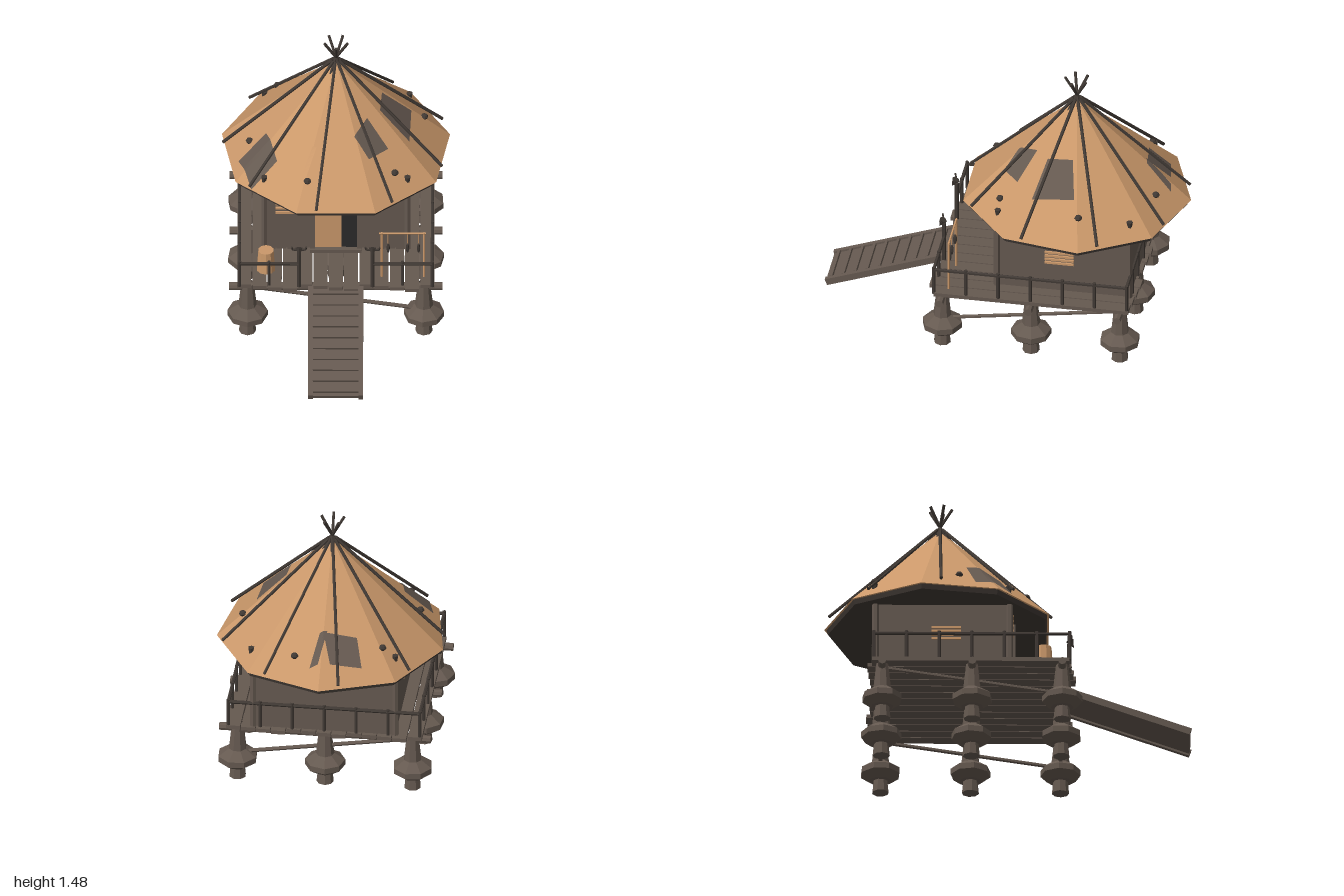
import * as THREE from 'three';

const mat = (name, hex) => {
  const m = new THREE.MeshStandardMaterial({ color: hex, flatShading: true, side: THREE.DoubleSide });
  m.name = name;
  return m;
};

export function createModel() {
  const wood = mat('wood', 0x655950);
  const dark = mat('dark wood', 0x403934);
  const tan = mat('hide', 0xca986a);
  const black = mat('shadowed doorway', 0x2c2b2b);
  const root = new THREE.Group();
  const CZ = -0.37, SIDES = 9, ROOF_R = 0.63, ROOF_Y = 0.752, APEX = 1.345;

  const add = (name, geo, m, x = 0, y = 0, z = 0, parent = root) => {
    const mesh = new THREE.Mesh(geo, m);
    mesh.name = name;
    mesh.position.set(x, y, z);
    parent.add(mesh);
    return mesh;
  };
  const box = (name, m, w, h, d, x, y, z, parent) => add(name, new THREE.BoxGeometry(w, h, d), m, x, y, z, parent);
  // round pole between two points
  const pole = (name, m, a, b, r, sides = 6) => {
    const p = new THREE.Vector3(...a), q = new THREE.Vector3(...b);
    const dir = q.clone().sub(p);
    const mesh = add(name, new THREE.CylinderGeometry(r, r, dir.length(), sides), m);
    mesh.position.copy(p).add(q).multiplyScalar(0.5);
    mesh.quaternion.setFromUnitVectors(new THREE.Vector3(0, 1, 0), dir.normalize());
    return mesh;
  };

  // Stilts with bulbous stone collars
  const stilt = new THREE.LatheGeometry([[0, 0], [0.047, 0], [0.04, 0.068], [0.062, 0.07], [0.11, 0.105], [0.11, 0.138],
    [0.062, 0.17], [0.05, 0.178], [0.034, 0.325]].map(p => new THREE.Vector2(...p)), 8);
  const rows = [0.29, -0.2, -0.69];
  rows.forEach((z, i) => {
    [-0.48, 0, 0.48].forEach((x, j) => { add('stilt', stilt, wood, x, 0, z).rotation.y = (i * 3 + j) * 0.35; });
    pole('floorBeam', wood, [-0.58, 0.305, z], [0.58, 0.305, z], 0.022, 8);
  });
  for (const x of [-0.48, 0.48]) pole('sideBrace', wood, [x, 0.155, 0.28], [x, 0.305, -0.69], 0.011);
  for (const z of [0.29, -0.69]) pole('crossBrace', wood, [-0.46, 0.3, z], [0.48, 0.15, z], 0.011);

  // Deck planks of uneven length
  for (let i = 0; i < 13; i++) {
    const front = 0.33 + ((i * 5) % 4) * 0.012, back = -0.745 - ((i * 3) % 4) * 0.008;
    box('deckPlank', wood, 0.076, 0.022, front - back, -0.498 + i * 0.083, 0.334, (front + back) / 2);
  }

  // Ramp
  const ramp = new THREE.Group();
  ramp.name = 'ramp';
  ramp.position.set(0, 0.203, 0.66);
  ramp.rotation.x = 0.345;
  root.add(ramp);
  box('rampBoard', wood, 0.27, 0.016, 0.7, 0, 0, 0, ramp);
  for (const s of [-1, 1]) box('rampRail', wood, 0.026, 0.038, 0.705, s * 0.137, 0, 0, ramp);
  for (let i = 0; i < 10; i++) box('rampCleat', wood, 0.25, 0.014, 0.016, 0, 0.014, -0.31 + i * 0.07, ramp);

  // House body, corner posts and front boards
  box('walls', wood, 0.78, 0.41, 0.73, 0, 0.545, -0.365);
  for (const x of [-0.39, 0.39]) for (const z of [0.005, -0.725])
    pole('cornerPost', wood, [x, 0.34, z], [x, 0.745, z], 0.018);
  for (const s of [-1, 1]) for (let i = 0; i < 4; i++)
    box('frontBoard', wood, 0.052, 0.39, 0.012 + (i % 2) * 0.01, s * (0.18 + i * 0.058), 0.54, 0.003);

  // Doorway with a half-drawn hide
  box('doorVoid', black, 0.25, 0.36, 0.006, 0, 0.54, 0.02);
  box('doorHide', tan, 0.145, 0.335, 0.008, -0.043, 0.54, 0.03);
  for (const s of [-1, 1]) box('doorJamb', wood, 0.028, 0.37, 0.04, s * 0.128, 0.535, 0.018);
  box('doorLintel', wood, 0.28, 0.022, 0.04, 0, 0.718, 0.018);
  box('doorStep', wood, 0.28, 0.022, 0.05, 0, 0.356, 0.025);

  // Slatted vents on the front and sides
  for (let i = 0; i < 4; i++) {
    box('frontVentSlat', tan, 0.155, 0.012, 0.012, -0.25, 0.602 + i * 0.029, 0.02);
    for (const s of [-1, 1]) box('sideVentSlat', tan, 0.012, 0.012, 0.16, s * 0.394, 0.522 + i * 0.022, -0.34);
  }

  // Roof: pyramid, underside and rim
  add('roof', new THREE.ConeGeometry(ROOF_R, APEX - ROOF_Y, SIDES, 1, true, Math.PI), tan, 0, (APEX + ROOF_Y) / 2, CZ);
  add('roofRim', new THREE.CylinderGeometry(ROOF_R - 0.012, ROOF_R - 0.02, 0.027, SIDES, 1, false, Math.PI), dark, 0, 0.738, CZ);

  // Height of the roof above a ground point
  const roofY = (x, z) => {
    let d = 0;
    for (let k = 0; k < SIDES; k++) {
      const a = Math.PI + (k + 0.5) * 2 * Math.PI / SIDES;
      d = Math.max(d, x * Math.sin(a) + (z - CZ) * Math.cos(a));
    }
    return APEX - (APEX - ROOF_Y) * d / (ROOF_R * Math.cos(Math.PI / SIDES));
  };
  // Patch draped over the roof, corners as [x, z]
  const patch = (name, m, c, lift) => {
    const g = new THREE.PlaneGeometry(1, 1, 8, 8), p = g.attributes.position;
    for (let i = 0; i < p.count; i++) {
      const u = p.getX(i) + 0.5, v = 0.5 - p.getY(i);
      const at = k => (c[0][k] * (1 - u) + c[1][k] * u) * (1 - v) + (c[3][k] * (1 - u) + c[2][k] * u) * v;
      p.setXYZ(i, at(0), roofY(at(0), at(1)) + lift, at(1));
    }
    g.computeVertexNormals();
    add(name, g, m);
  };
  [[[-0.53, -0.18], [-0.38, -0.23], [-0.32, -0.05], [-0.46, 0.02]],
    [[0.17, -0.18], [0.285, -0.09], [0.18, 0.0], [0.1, -0.07]],
    [[0.25, -0.39], [0.41, -0.425], [0.4, -0.19], [0.24, -0.25]],
    [[-0.22, -0.85], [-0.05, -0.88], [0.0, -0.76], [-0.18, -0.735]],
    [[0.015, -0.89], [0.06, -0.9], [0.02, -0.76], [-0.02, -0.75]]].forEach(c => patch('darkPatch', wood, c, 0.008));
  [[[-0.15, -0.04], [0.03, -0.01], [0.02, 0.12], [-0.23, 0.09]],
    [[-0.33, -0.69], [-0.23, -0.6], [-0.31, -0.51], [-0.42, -0.56]],
    [[0.15, -0.8], [0.29, -0.72], [0.2, -0.65], [0.13, -0.69]]].forEach(c => patch('hidePatch', tan, c, 0.005));

  // Studs and small pegs on the roof
  [[-0.47, -0.27], [0.32, 0], [0.48, -0.46], [0.15, -0.83], [-0.32, -0.73], [-0.155, 0.1]].forEach(([x, z]) =>
    add('roofStud', new THREE.SphereGeometry(0.022, 7, 4), dark, x, roofY(x, z) + 0.006, z).scale.y = 0.75);
  [[0.39, 0], [0.4, -0.73], [-0.39, -0.73], [-0.39, 0]].forEach(([x, z]) =>
    add('roofPeg', new THREE.CylinderGeometry(0.018, 0.012, 0.035, 6), dark, x, roofY(x, z) + 0.006, z));

  // Poles lying on the roof and crossing above it
  for (let k = 0; k < SIDES; k++) {
    const a = Math.PI + k * 2 * Math.PI / SIDES, c = Math.cos(a), s = Math.sin(a);
    pole('roofPole', dark, [0.615 * c, 0.782, CZ + 0.615 * s], [0.02 * c, 1.35, CZ + 0.02 * s], 0.009);
  }
  for (let k = 0; k < 5; k++) {
    const a = 0.3 + k * 2 * Math.PI / 5, c = Math.cos(a), s = Math.sin(a);
    pole('crownPole', dark, [-0.06 * c, 1.27, CZ - 0.06 * s], [0.066 * c, 1.478, CZ + 0.066 * s], 0.008);
  }

  // Railing around the deck, open at the ramp
  const railing = (a, b, n) => {
    pole('handrail', dark, [a[0], 0.49, a[1]], [b[0], 0.49, b[1]], 0.01);
    for (let i = 0; i <= n; i++) {
      const t = i / n, x = a[0] + (b[0] - a[0]) * t, z = a[1] + (b[1] - a[1]) * t;
      pole('railPost', dark, [x, 0.335, z], [x, 0.505, z], 0.01);
    }
  };
  for (const s of [-1, 1]) {
    railing([s * 0.525, 0.33], [s * 0.525, -0.735], 6);
    railing([s * 0.2, 0.33], [s * 0.525, 0.33], 2);
    // Entrance post with a horned skull
    pole('entrancePost', dark, [s * 0.2, 0.335, 0.33], [s * 0.2, 0.58, 0.33], 0.012);
    add('skull', new THREE.ConeGeometry(0.022, 0.05, 6), dark, s * 0.2, 0.58, 0.345).rotation.x = Math.PI * 0.85;
    for (const h of [-1, 1]) {
      pole('horn', dark, [s * 0.2, 0.59, 0.34], [s * 0.2 + h * 0.035, 0.595, 0.34], 0.006);
      pole('hornTip', dark, [s * 0.2 + h * 0.035, 0.593, 0.34], [s * 0.2 + h * 0.04, 0.615, 0.345], 0.005);
    }
  }
  railing([-0.525, -0.735], [0.525, -0.735], 6);

  // Barrel
  add('barrel', new THREE.CylinderGeometry(0.043, 0.052, 0.13, 10), tan, -0.38, 0.41, 0.19);

  // Drying rack with hanging fish
  for (const x of [0.25, 0.48]) pole('rackPost', tan, [x, 0.345, 0.255], [x, 0.645, 0.255], 0.007);
  pole('rackBar', tan, [0.235, 0.64, 0.255], [0.49, 0.64, 0.255], 0.006);
  for (const x of [0.285, 0.39, 0.45]) {
    pole('fishString', tan, [x, 0.57, 0.255], [x, 0.64, 0.255], 0.0025, 4);
    add('fish', new THREE.SphereGeometry(0.03, 6, 5), dark, x, 0.54, 0.255).scale.set(0.3, 1.1, 0.4);
  }
  return root;
}
